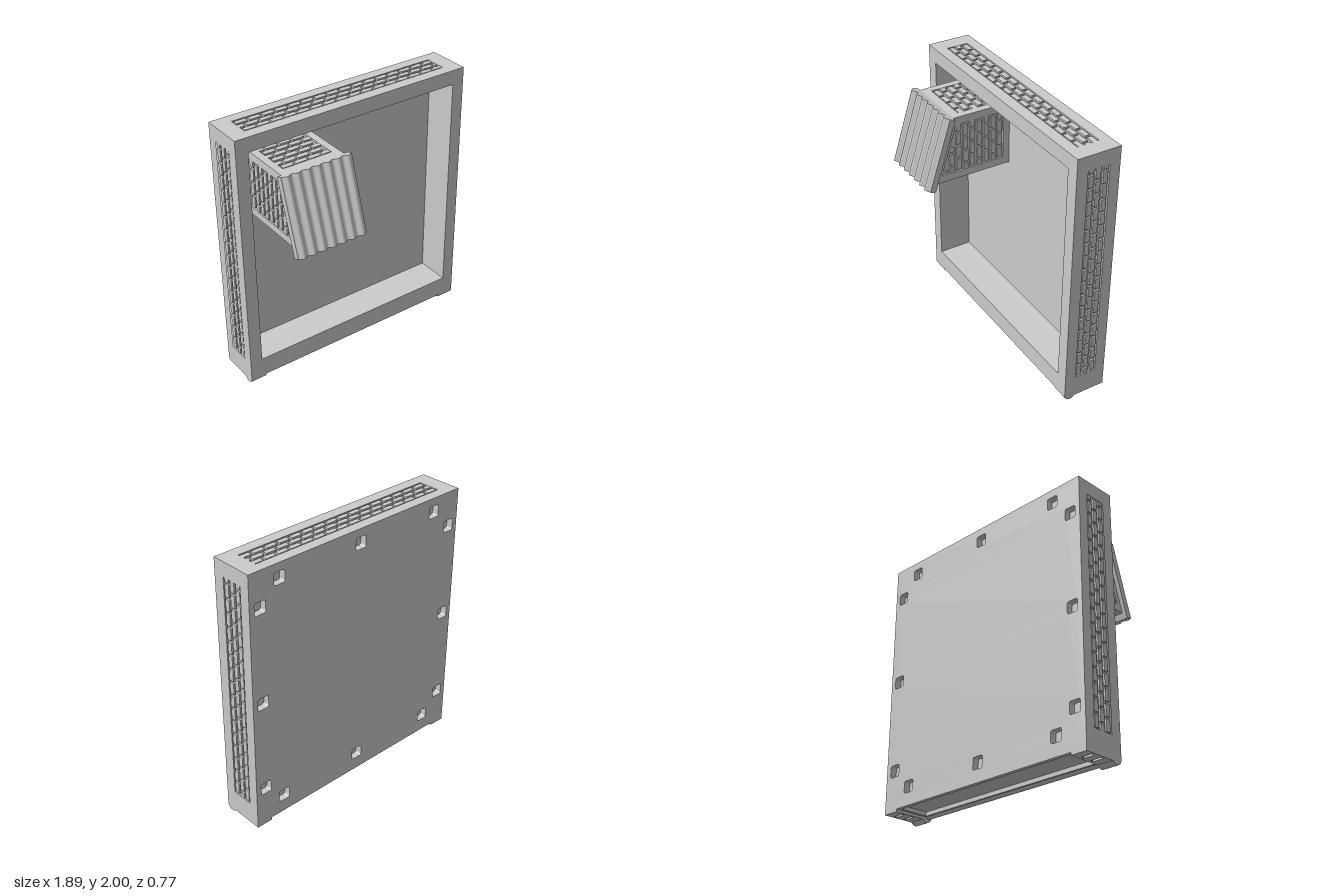
import * as THREE from 'three';
import { mergeGeometries } from 'three/addons/utils/BufferGeometryUtils.js';

const material = new THREE.MeshStandardMaterial({ color: 0xcccccc, flatShading: true });
const smooth = new THREE.MeshStandardMaterial({ color: 0xcccccc });
const RECESS = 0.015;

function add(parent, name, geometry, mat = material) {
  const mesh = new THREE.Mesh(geometry, mat);
  mesh.name = name;
  parent.add(mesh);
  return mesh;
}

function box(parent, name, x0, x1, y0, y1, z0, z1) {
  const g = new THREE.BoxGeometry(x1 - x0, y1 - y0, z1 - z0);
  g.translate((x0 + x1) / 2, (y0 + y1) / 2, (z0 + z1) / 2);
  return add(parent, name, g);
}

const rect = (a, b, c, d) => [[a, c], [b, c], [b, d], [a, d]];
const toVectors = (pts) => pts.map(([u, v]) => new THREE.Vector2(u, v));

function slab(outline, holes, depth) {
  const shape = new THREE.Shape(toVectors(outline));
  for (const hole of holes) shape.holes.push(new THREE.Path(toVectors(hole)));
  return new THREE.ExtrudeGeometry(shape, { depth, bevelEnabled: false });
}

// Orientation of a face: local u, v and outward normal, placed at distance d
function face(u, v, n, d) {
  const m = new THREE.Matrix4().makeBasis(u, v, n);
  return m.setPosition(n.clone().multiplyScalar(d));
}
const X = new THREE.Vector3(1, 0, 0), Y = new THREE.Vector3(0, 1, 0), Z = new THREE.Vector3(0, 0, 1);
const sideFace = (s, d) => face(Y.clone().multiplyScalar(s), Z, X.clone().multiplyScalar(s), d);
const topFace = (d) => face(X, Z.clone().negate(), Y, d);
const bottomFace = (d) => face(X, Z, Y.clone().negate(), d);

// Running-bond bricks between u0..u1 and v0..v1; limit(v) trims the upper u end
function bricks(s, u0, u1, v0, v1, limit = () => u1) {
  const parts = [], pitch = 0.104, gap = 0.018;
  const rows = Math.round((v1 - v0) / 0.056), h = (v1 - v0) / rows;
  for (let r = 0; r < rows; r++) {
    const va = v0 + r * h + gap / 2, vb = v0 + (r + 1) * h - gap / 2;
    const end = Math.min(u1, limit(vb));
    for (let u = u0 - (r % 2) * pitch / 2; u < end; u += pitch) {
      const a = Math.max(u + gap / 2, u0), b = Math.min(u + pitch - gap / 2, end);
      if (b - a < 0.012) continue;
      const g = new THREE.BoxGeometry(b - a, vb - va, RECESS);
      parts.push(g.translate(s * (a + b) / 2, (va + vb) / 2, RECESS / 2 - 0.002));
    }
  }
  return mergeGeometries(parts);
}

// Raised border with a sunken field of bricks
function brickPanel(parent, name, matrix, s, outline, hole, field, limit) {
  const flip = (pts) => pts.map(([u, v]) => [s * u, v]);
  add(parent, name + 'Border', slab(flip(outline), [flip(hole)], RECESS).applyMatrix4(matrix));
  add(parent, name + 'Bricks', bricks(s, ...field, limit).applyMatrix4(matrix));
}

function roundedSquare(cx, cy, half, r) {
  const pts = [];
  for (let i = 0; i < 4; i++) {
    for (let k = 0; k <= 4; k++) {
      const a = (i + k / 4) * Math.PI / 2, q = (i + 0.5) * Math.PI / 2;
      pts.push([cx + Math.sign(Math.cos(q)) * (half - r) + r * Math.cos(a),
        cy + Math.sign(Math.sin(q)) * (half - r) + r * Math.sin(a)]);
    }
  }
  return pts;
}

function createFrame() {
  const frame = new THREE.Group();
  frame.name = 'frame';

  // Hollow tray walls and floor
  const walls = slab(rect(-0.93, 0.93, 0.07, 1.985), [rect(-0.85, 0.85, 0.19, 1.89)], 0.28);
  add(frame, 'trayWalls', walls.translate(0, 0, -0.33));
  box(frame, 'trayFloor', -0.85, 0.85, 0.19, 1.89, -0.33, -0.31);

  // Back plate with sockets around its edge
  const sockets = [];
  for (const x of [-0.7, 0, 0.7]) for (const y of [0.18, 1.895]) sockets.push([x, y]);
  for (const x of [-0.86, 0.86]) for (const y of [0.33, 1.03, 1.74]) sockets.push([x, y]);
  const back = slab(rect(-0.93, 0.93, 0.07, 1.985),
    sockets.map(([x, y]) => roundedSquare(x, y, 0.045, 0.015)), 0.05);
  add(frame, 'backPlate', back.translate(0, 0, -0.38));

  // Brick-filled panels on the sides and top
  for (const s of [1, -1]) {
    brickPanel(frame, 'side', sideFace(s, 0.93), s, rect(0.07, 1.985, -0.38, -0.05),
      rect(0.19, 1.89, -0.30, -0.135), [0.19, 1.89, -0.30, -0.135]);
  }
  brickPanel(frame, 'top', topFace(1.985), 1, rect(-0.945, 0.945, 0.05, 0.38),
    rect(-0.82, 0.82, 0.135, 0.30), [-0.82, 0.82, 0.135, 0.30]);

  // Sunken underside with a rounded front lip
  const under = slab(rect(-0.945, 0.945, -0.38, -0.05), [rect(-0.8, 0.8, -0.35, -0.12)], 0.03);
  add(frame, 'undersideBorder', under.applyMatrix4(bottomFace(-0.07)));
  const lip = new THREE.CylinderGeometry(0.03, 0.03, 1.64, 20).rotateZ(Math.PI / 2);
  add(frame, 'frontLip', lip.translate(0, 0.055, -0.08), smooth);

  // Grooved feet with a rounded front roll
  for (const s of [-1, 1]) {
    const a = Math.min(s * 0.82, s * 0.945), b = Math.max(s * 0.82, s * 0.945);
    for (const [z0, z1] of [[-0.38, -0.31], [-0.285, -0.225], [-0.2, -0.1]]) {
      box(frame, 'footBar', a, b, 0.02, 0.04, z0, z1);
    }
    for (const [c, d] of [[a, a + 0.02], [b - 0.02, b]]) {
      box(frame, 'footEdge', c, d, 0.02, 0.04, -0.38, -0.1);
    }
    const roll = new THREE.CylinderGeometry(0.045, 0.045, 0.125, 24).rotateZ(Math.PI / 2);
    add(frame, 'footRoll', roll.translate(s * 0.8825, 0.045, -0.095), smooth);
  }
  return frame;
}

function createBay() {
  const bay = new THREE.Group();
  bay.name = 'bay';
  bay.position.x = -0.49;

  // Slanted core, outlined in (y, z)
  const core = [[1.76, -0.31], [1.76, 0.15], [1.285, 0.3], [1.285, -0.31]];
  add(bay, 'bayCore', slab(core, [], 0.46).applyMatrix4(sideFace(1, -0.23)));

  // Brick cheeks trimmed along the slant
  for (const s of [1, -1]) {
    brickPanel(bay, 'bayCheek', sideFace(s, 0.23), s, core,
      [[1.715, -0.26], [1.715, 0.125], [1.34, 0.245], [1.34, -0.26]],
      [1.34, 1.715, -0.26, 0.245], (v) => 1.715 - (v - 0.125) / 0.32);
  }
  brickPanel(bay, 'bayTop', topFace(1.76), 1, rect(-0.245, 0.245, -0.145, 0.31),
    rect(-0.19, 0.19, -0.08, 0.26), [-0.19, 0.19, -0.08, 0.26]);
  box(bay, 'bayLedge', -0.2, 0.2, 1.26, 1.29, -0.31, 0.27);

  // Corrugated slanted cover
  const outline = [[-0.275, 0], [0.275, 0]];
  const steps = 84;
  for (let i = 0; i <= steps; i++) {
    const t = 1 - i / steps;
    outline.push([-0.275 + 0.55 * t, 0.06 - 0.014 * Math.cos(t * 14 * Math.PI)]);
  }
  const cover = add(bay, 'corrugatedCover', slab(outline, [], 0.561));
  cover.rotation.x = THREE.MathUtils.degToRad(72.4);
  cover.position.set(0, 1.775, 0.145);
  return bay;
}

export function createModel() {
  const model = new THREE.Group();
  model.name = 'framedTrayWithBay';
  model.add(createFrame(), createBay());
  return model;
}
